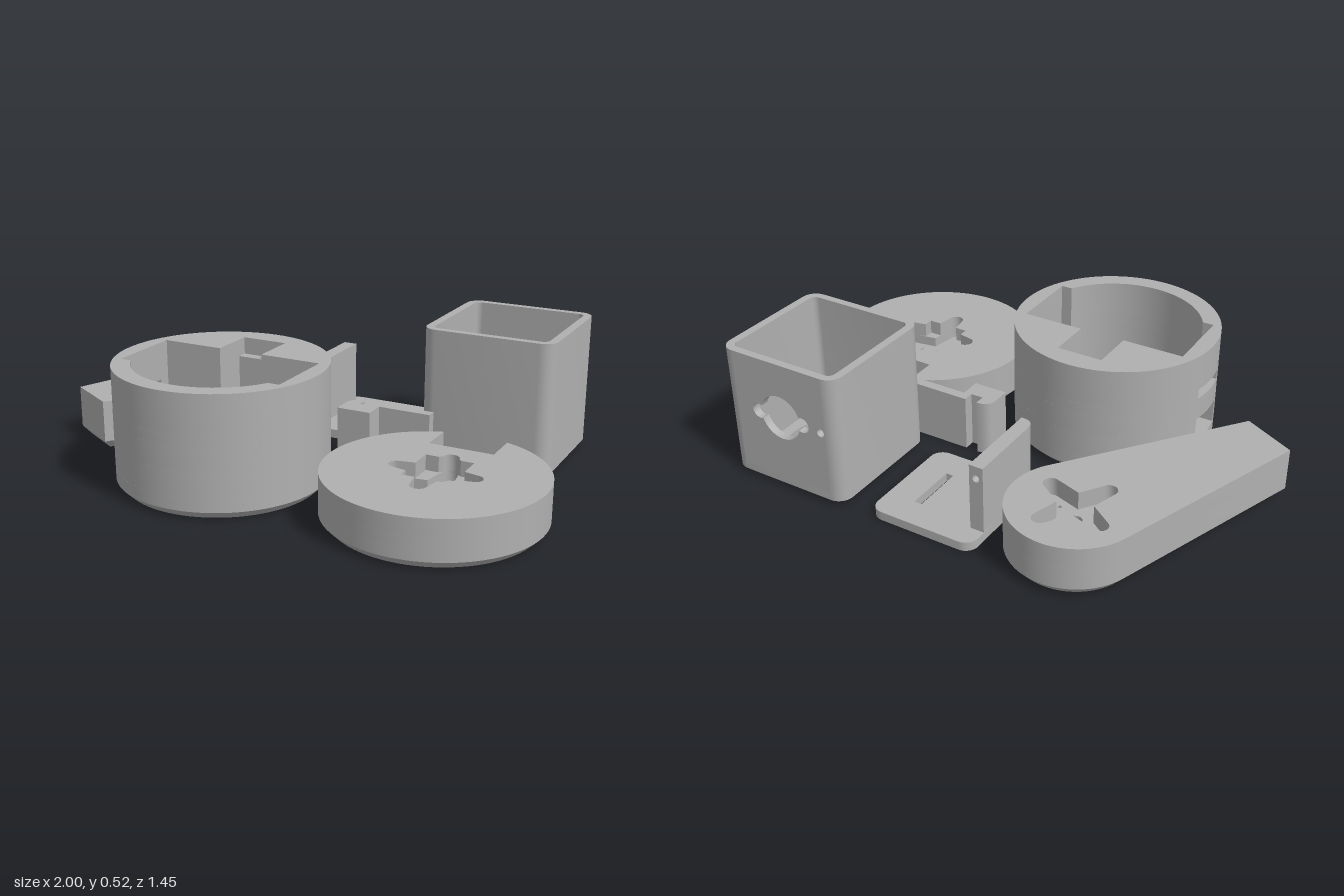
import * as THREE from 'three';
import { toCreasedNormals } from 'three/addons/utils/BufferGeometryUtils.js';

const grey = new THREE.MeshStandardMaterial({ color: 0xb0b0b0 });
grey.name = 'grey plastic';
const PI = Math.PI;

// Plan shapes are drawn in (x, z)
const poly = (pts) => new THREE.Shape(pts.map(([x, y]) => new THREE.Vector2(x, y)));
const rect = (x0, y0, x1, y1) => poly([[x0, y0], [x1, y0], [x1, y1], [x0, y1]]);
const arcPts = (r, a0, a1, n) => Array.from({ length: n + 1 }, (_, i) => {
  const a = a0 + (a1 - a0) * i / n;
  return [r * Math.cos(a), r * Math.sin(a)];
});
const circlePts = (r, n) => arcPts(r, 0, PI * 2, n).slice(0, -1);
const circle = (x, y, r) => poly(circlePts(r, r > 0.05 ? 64 : 20).map(([u, v]) => [x + u, y + v]));
const withHoles = (shape, ...holes) => { shape.holes.push(...holes); return shape; };

function roundRect(w, d, r) {
  const pts = [];
  [[1, 1], [-1, 1], [-1, -1], [1, -1]].forEach(([sx, sy], k) => {
    for (const [x, y] of arcPts(r, k * PI / 2, (k + 1) * PI / 2, 8)) pts.push([sx * (w - r) + x, sy * (d - r) + y]);
  });
  return pts;
}

const extrude = (shape, depth) => new THREE.ExtrudeGeometry(shape, { depth, bevelEnabled: false, curveSegments: 8 });

// Normals are creased at a larger scale so that close vertices stay apart
function add(group, name, geo) {
  const creased = toCreasedNormals(geo.scale(100, 100, 100), 0.5).scale(0.01, 0.01, 0.01);
  const mesh = new THREE.Mesh(creased, grey);
  mesh.name = name;
  group.add(mesh);
}

// Upright slab of a plan shape between two heights
const slab = (group, name, shape, y0, y1) =>
  add(group, name, extrude(shape, y1 - y0).rotateX(PI / 2).translate(0, y1, 0));

// Slab from y = 0 whose lower outline is inset by c
function chamferSlab(group, name, outline, holes, c, h) {
  const full = outline(0), inset = outline(c);
  const geo = extrude(withHoles(poly(full), ...holes), h);
  const p = geo.attributes.position;
  for (let i = 0; i < p.count; i++) {
    if (p.getZ(i) < h / 2) continue;
    const k = full.findIndex(([x, y]) => Math.hypot(x - p.getX(i), y - p.getY(i)) < 1e-5);
    if (k >= 0) p.setXY(i, ...inset[k]);
  }
  add(group, name, geo.rotateX(PI / 2).translate(0, h, 0));
}

function part(root, name, x, z) {
  const g = new THREE.Group();
  g.name = name;
  g.position.set(x, 0, z);
  root.add(g);
  return g;
}

// Four-armed pocket; reach gives an optional rectangular clearance
function cross(turn, reach) {
  const pts = [], w = 0.045, tip = 0.03, len = 0.172;
  for (let k = 0; k < 4; k++) {
    const a = turn + k * PI / 2, c = Math.cos(a), s = Math.sin(a);
    const put = (u, v) => pts.push([u * c - v * s, u * s + v * c]);
    const r = reach ? reach[k] : w;
    if (reach) put(r, 0.004 - w);
    for (const [u, v] of arcPts(tip, -PI / 2, PI / 2, 8)) put(len - tip + u, v);
    if (reach) put(r, w - 0.004);
    put(r, reach ? reach[(k + 1) % 4] : w);
  }
  return poly(pts);
}

// Axle hole and four screw holes
function axleHoles(turn) {
  const holes = [circle(0, 0, 0.027)];
  for (let k = 0; k < 4; k++) {
    const a = turn + k * PI / 2;
    holes.push(circle(0.092 * Math.cos(a), 0.092 * Math.sin(a), 0.008));
  }
  return holes;
}

function buildArm(root) {
  const g = part(root, 'taperedArm', -0.495, -0.485);
  const outline = (c) => [
    ...arcPts(0.243 - c, 200 * PI / 180, 398 * PI / 180, 40),
    [-0.305 - 0.26 * c, 0.785 - 1.28 * c], [-0.505 + 1.23 * c, 0.675 - 0.47 * c]];
  const turn = 0.46, holes = axleHoles(turn);
  chamferSlab(g, 'armBase', outline, holes, 0.03, 0.035);
  slab(g, 'armCore', withHoles(poly(outline(0)), ...holes), 0.035, 0.13);
  slab(g, 'armTop', withHoles(poly(outline(0)), cross(turn)), 0.13, 0.2);
}

function buildDisc(root) {
  const g = part(root, 'notchedDisc', 0.605, 0.31);
  const outline = (c) => {
    const R = 0.395 - c;
    return [[0.12, -0.24], ...arcPts(R, -Math.acos(0.12 / R), PI + Math.acos(0.125 / R), 72), [-0.125, -0.24]];
  };
  const layer = (...holes) => withHoles(poly(outline(0)), ...holes);
  const holes = axleHoles(0);
  chamferSlab(g, 'discBase', outline, holes, 0.03, 0.03);
  slab(g, 'discCore', layer(...holes), 0.03, 0.08);
  slab(g, 'discMiddle', layer(cross(0)), 0.08, 0.12);
  slab(g, 'discTop', layer(cross(0, [0.09, 0.08, 0.09, 0.13])), 0.12, 0.178);
}

function buildDrum(root) {
  const g = part(root, 'roundHousing', -0.23, 0.325);
  const R = 0.395, disc = (c) => circlePts(R - c, 80);
  const cavity = [[-0.33, 0.155], ...arcPts(0.325, PI - 0.497, 0.497, 32), [0.33, 0.155], [0.33, -0.13],
    [0.09, -0.13], [0.09, -0.305], [-0.09, -0.305], [-0.09, -0.13], [-0.33, -0.13]];
  const ring = withHoles(poly(disc(0)), poly(cavity));
  const a = Math.asin(0.085 / R);
  const slotted = poly([...arcPts(R, PI + a, 3 * PI - a, 76), [-0.33, 0.085], ...cavity, [-0.33, -0.085]]);
  chamferSlab(g, 'housingBase', disc, [], 0.03, 0.03);
  slab(g, 'housingFloor', poly(disc(0)), 0.03, 0.05);
  // Wall in layers, two of them open for the side slots
  const levels = [0.05, 0.08, 0.18, 0.27, 0.31, 0.455];
  for (let i = 0; i < 5; i++) slab(g, 'housingWall', i % 2 ? slotted : ring, levels[i], levels[i + 1]);
  slab(g, 'screwLedge', withHoles(rect(-0.09, -0.305, 0.09, -0.265), circle(0, -0.282, 0.013)), 0.05, 0.39);
}

function buildBox(root) {
  const g = part(root, 'squareHousing', 0.585, -0.442);
  const w = 0.255, d = 0.258, iw = 0.223, id = 0.228;
  const outline = (c) => roundRect(w - c, d - c, 0.055);
  const opening = circle(0, 0, 0.18);
  chamferSlab(g, 'boxBase', outline, [opening], 0.02, 0.02);
  slab(g, 'boxFloor', withHoles(poly(outline(0)), opening), 0.02, 0.05);
  // Wall on three sides: rounded outlines restarted at the back right corner
  const run = (hw, hd, r) => {
    const pts = roundRect(hw, hd, r);
    return [...pts.slice(28), ...pts.slice(0, 26)];
  };
  slab(g, 'boxWall', poly([[0.2, -d], ...run(w, d, 0.055), [-0.2, -d], [-0.2, -id],
    ...run(iw, id, 0.025).reverse(), [0.2, -id]]), 0.05, 0.525);
  // Back panel with a two-eared opening and a screw hole
  const big = arcPts(0.088, 0.3, PI - 0.3, 16);
  const lobe = arcPts(0.03, -2, 2, 12).map(([x, y]) => [x + 0.098, y]);
  const half = [...lobe, ...big];
  const eye = [...half, ...half.map(([x, y]) => [-x, -y])];
  const panel = withHoles(rect(-0.2, 0.05, 0.2, 0.525),
    poly(eye.map(([x, y]) => [x, y + 0.305])), circle(-0.18, 0.3, 0.016));
  add(g, 'backPanel', extrude(panel, d - id).translate(0, 0, -d));
  // Low corner blocks and two loose pegs in the floor opening
  for (const sx of [-1, 1]) for (const sz of [-1, 1]) {
    add(g, 'cornerBlock', new THREE.BoxGeometry(0.06, 0.06, 0.06).translate(sx * (iw - 0.03), 0.08, sz * (id - 0.03)));
  }
  for (const s of [-1, 1]) {
    add(g, 'peg', new THREE.CylinderGeometry(0.022, 0.022, 0.05, 20).translate(0, 0.025, s * 0.073));
  }
}

function buildBracket(root) {
  const g = part(root, 'angleBracket', 0, 0);
  const plate = poly(roundRect(0.213, 0.217, 0.05).map(([x, z]) => [x + 0.012, z - 0.465]));
  slab(g, 'bracketPlate', withHoles(plate, rect(0.08, -0.57, 0.11, -0.365)), 0, 0.035);
  const wall = poly([[-0.2, -0.5], [-0.145, -0.5], [-0.145, -0.249], [-0.152, -0.249]]);
  wall.quadraticCurveTo(-0.2, -0.249, -0.2, -0.298);
  slab(g, 'bracketWall', wall, 0.035, 0.3);
  add(g, 'bracketWallEnd',
    extrude(withHoles(rect(-0.2, 0.035, -0.145, 0.3), circle(-0.172, 0.25, 0.014)), 0.095).translate(0, 0, -0.595));
}

function buildHook(root) {
  const g = part(root, 'hookClip', 0, 0);
  const s = poly([[0.12, -0.138], [0.12, -0.095], [0.17, -0.095], [0.17, -0.138], [0.33, -0.138],
    [0.33, -0.1], [0.2, -0.1], [0.2, -0.017], [0.065, -0.017], [0.065, -0.095]]);
  s.quadraticCurveTo(0.068, -0.135, 0.12, -0.138);
  slab(g, 'hookBody', s, 0, 0.22);
  // Tail end with a screw hole along x
  const end = withHoles(rect(0.1, 0, 0.138, 0.22), circle(0.117, 0.115, 0.013));
  add(g, 'hookTail', extrude(end, 0.077).rotateY(PI / 2).translate(0.33, 0, 0));
}

export function createModel() {
  const root = new THREE.Group();
  root.name = 'printedPartSet';
  [buildArm, buildDisc, buildDrum, buildBox, buildBracket, buildHook].forEach((build) => build(root));
  return root;
}
